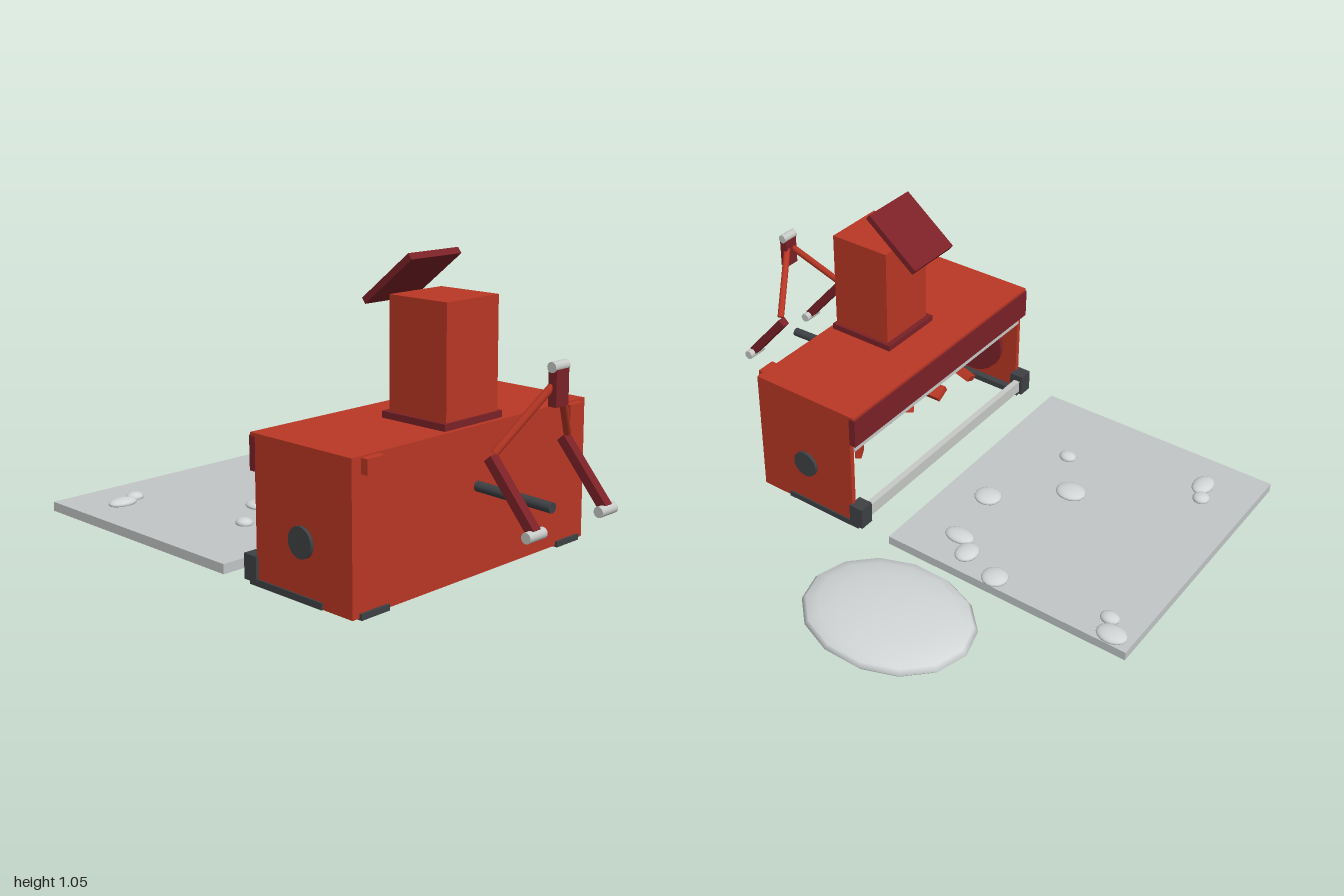
import * as THREE from 'three';

const mat = (name, color, side = THREE.FrontSide) => {
  const m = new THREE.MeshStandardMaterial({ color, side });
  m.name = name;
  return m;
};

export function createModel() {
  const root = new THREE.Group();
  root.name = 'snowBlowerAttachment';
  const red = mat('orangeRed', 0xba3725);
  const darkRed = mat('darkRed', 0x7b2127);
  const dark = mat('charcoal', 0x3e4145);
  const steel = mat('lightSteel', 0xc6c9c6);
  const slabGrey = mat('slabGrey', 0xc2c6c6);
  const snow = mat('snow', 0xd2d6d6);

  const add = (name, geo, m, x = 0, y = 0, z = 0) => {
    const mesh = new THREE.Mesh(geo, m);
    mesh.name = name;
    mesh.position.set(x, y, z);
    root.add(mesh);
    return mesh;
  };
  // Box given by its limits on each axis
  const box = (name, m, x0, x1, y0, y1, z0, z1) =>
    add(name, new THREE.BoxGeometry(x1 - x0, y1 - y0, z1 - z0), m,
      (x0 + x1) / 2, (y0 + y1) / 2, (z0 + z1) / 2);
  // Cylinder lying along x
  const rodX = (name, m, r, len, x, y, z, sides = 16) =>
    add(name, new THREE.CylinderGeometry(r, r, len, sides).rotateZ(Math.PI / 2), m, x, y, z);
  // Round or square bar between two points
  const bar = (name, m, a, b, w, square = false) => {
    const p = new THREE.Vector3(...a), q = new THREE.Vector3(...b);
    const len = p.distanceTo(q);
    const geo = square ? new THREE.BoxGeometry(w, len, w) : new THREE.CylinderGeometry(w / 2, w / 2, len, 14);
    const mesh = add(name, geo, m);
    mesh.position.copy(p).lerp(q, 0.5);
    mesh.quaternion.setFromUnitVectors(new THREE.Vector3(0, 1, 0), q.sub(p).normalize());
    return mesh;
  };

  const CX = -0.303; // centre of the machine
  const HALF = 0.558;

  // Housing, open to the rear and below
  box('frontWall', red, CX - HALF, CX + HALF, 0.005, 0.5, 0.58, 0.605);
  box('roof', red, CX - HALF, CX + HALF, 0.485, 0.505, 0.15, 0.605);
  box('rearHood', darkRed, CX - HALF, CX + HALF, 0.38, 0.495, 0.145, 0.172);

  for (const s of [-1, 1]) {
    const side = (name, m, inner, outer, ...rest) => {
      const a = CX + s * inner, b = CX + s * outer;
      return box(name, m, Math.min(a, b), Math.max(a, b), ...rest);
    };
    side('sideWall', red, HALF - 0.02, HALF, 0.005, 0.49, 0.17, 0.59);
    side('skidRunner', dark, HALF - 0.05, HALF + 0.006, 0.005, 0.028, 0.14, 0.475);
    side('rearFoot', dark, HALF - 0.05, HALF + 0.01, 0.018, 0.105, 0.118, 0.176);
    side('frontShoe', dark, 0.41, 0.53, 0, 0.02, 0.5, 0.615);
    side('hinge', red, 0.445, 0.52, 0.45, 0.5, 0.6, 0.632);
    rodX('bearingCap', dark, 0.052, 0.02, CX + s * (HALF + 0.002), 0.2, 0.385, 24);
    rodX('augerEndDisc', darkRed, 0.15, 0.02, CX + s * (HALF - 0.035), 0.2, 0.385, 28);
  }
  box('scraperBar', steel, CX - HALF + 0.05, CX + HALF - 0.05, 0.03, 0.08, 0.13, 0.155);

  // Auger drum with paddles set in a spiral
  rodX('augerDrum', dark, 0.045, 2 * HALF - 0.05, CX, 0.2, 0.385);
  for (let i = 0; i < 14; i++) {
    const pivot = new THREE.Group();
    pivot.name = 'augerPaddle';
    pivot.position.set(CX - 0.46 + i * 0.071, 0.2, 0.385);
    pivot.rotation.x = i * 2.2;
    const blade = new THREE.Mesh(new THREE.BoxGeometry(0.06, 0.115, 0.025), red);
    blade.name = 'paddleBlade';
    blade.position.y = 0.09;
    blade.rotation.y = i % 2 ? 0.5 : -0.5;
    pivot.add(blade);
    root.add(pivot);
  }

  // Toothed ice cutter under the rear hood
  box('cutterBar', steel, CX - HALF + 0.02, CX + HALF - 0.02, 0.34, 0.382, 0.165, 0.19);
  const teeth = new THREE.Shape();
  const count = 36, span = 2 * HALF - 0.06;
  teeth.moveTo(-span / 2, 0.03);
  for (let i = 0; i < count; i++) {
    teeth.lineTo(-span / 2 + (i * span) / count, 0);
    teeth.lineTo(-span / 2 + ((i + 0.5) * span) / count, -0.028);
  }
  teeth.lineTo(span / 2, 0);
  teeth.lineTo(span / 2, 0.03);
  add('cutterTeeth', new THREE.ExtrudeGeometry(teeth, { depth: 0.012, bevelEnabled: false }), dark, CX, 0.335, 0.192);

  // Discharge chute and tilted deflector
  box('chuteCollar', darkRed, CX - 0.138, CX + 0.138, 0.5, 0.528, 0.312, 0.588);
  box('chute', red, CX - 0.123, CX + 0.123, 0.505, 0.91, 0.332, 0.58);
  const deflector = box('deflector', darkRed, CX - 0.117, CX + 0.117, 0.944, 0.968, 0.181, 0.445);
  deflector.rotation.x = -0.665;

  // Drive shaft and three-point hitch
  bar('driveShaft', dark, [CX, 0.306, 0.56], [CX, 0.296, 0.91], 0.035);
  box('hitchBlock', darkRed, CX - 0.03, CX + 0.03, 0.62, 0.735, 0.907, 0.938);
  rodX('topPin', steel, 0.017, 0.07, CX, 0.742, 0.922);
  for (const s of [-1, 1]) {
    const x = CX + s * 0.177;
    bar('upperArm', red, [CX + s * 0.01, 0.695, 0.92], [x, 0.488, 0.825], 0.026);
    bar('lowerArm', darkRed, [x, 0.472, 0.81], [x, 0.275, 0.98], 0.033, true);
    rodX('lowerPin', steel, 0.018, 0.08, x, 0.267, 0.982);
  }

  // Cleared slab with clumps of snow: x, z, x radius, z radius
  box('groundSlab', slabGrey, CX - HALF, CX + HALF, 0, 0.035, -1, 0);
  const clumps = [
    [-0.695, -0.795, 0.058, 0.04], [-0.62, -0.825, 0.033, 0.033],
    [0.21, -0.92, 0.045, 0.058], [0.145, -0.875, 0.03, 0.037],
    [-0.36, -0.405, 0.052, 0.06], [0.21, -0.44, 0.05, 0.05],
    [-0.54, -0.28, 0.03, 0.035], [0.16, -0.285, 0.053, 0.043],
    [0.1, -0.21, 0.04, 0.06], [-0.15, -0.165, 0.052, 0.053],
  ];
  for (const [x, z, rx, rz] of clumps)
    add('snowClump', new THREE.SphereGeometry(1, 16, 10).scale(rx, 0.018, rz), snow, x, 0.04, z);

  // Thrown snow mound
  add('snowMound', new THREE.SphereGeometry(1, 14, 10).rotateY(Math.PI / 14).scale(0.262, 0.055, 0.325), snow, 0.605, 0.066, -0.27);

  return root;
}
